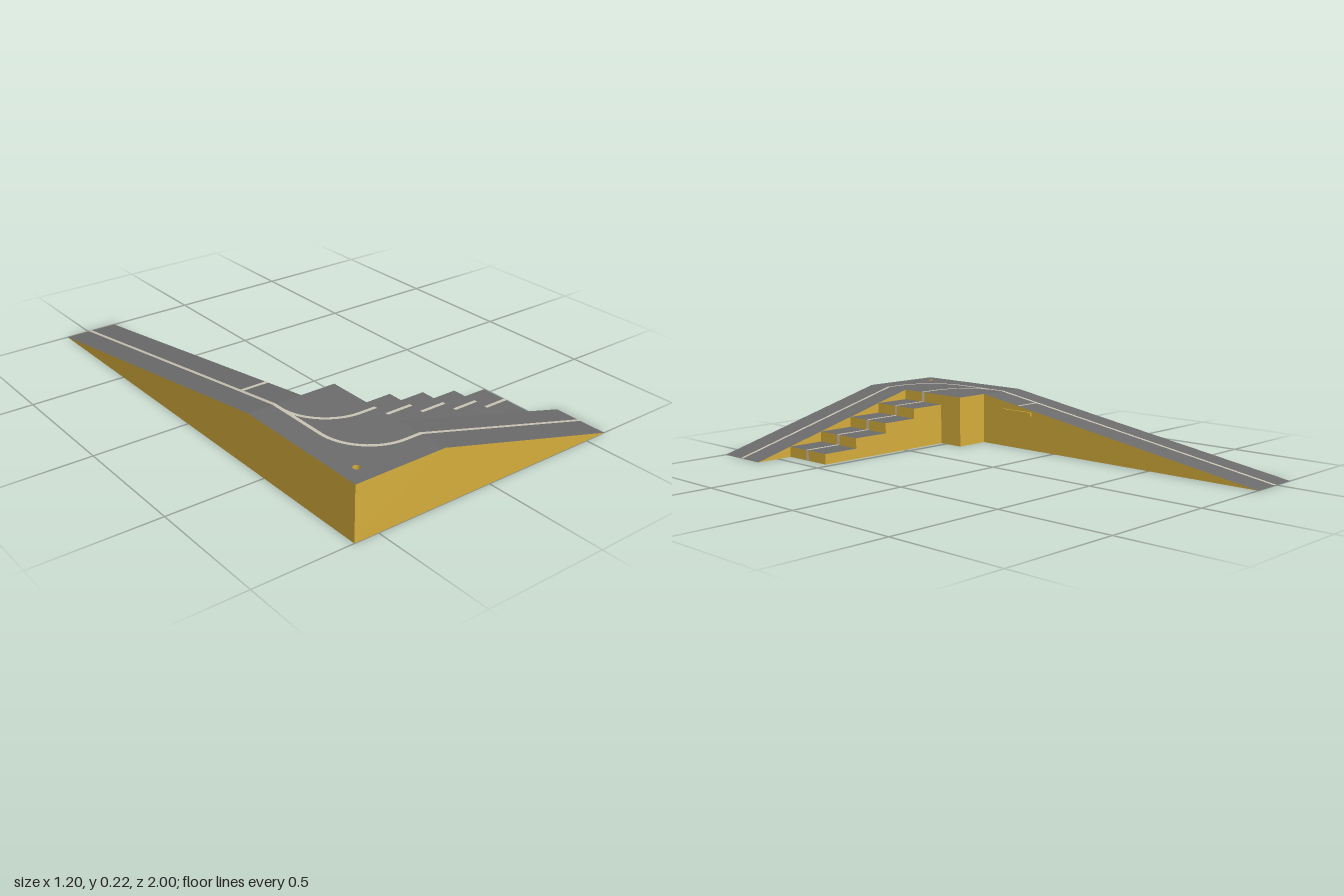
import * as THREE from 'three';

const H = 0.218;                                   // plateau height
const L = -0.6, R = 0.6, F = 1, B = -1;            // overall plan
const PX = -0.22, PZ = 0.41;                       // plateau corner
const IX = -0.37, IZ = 0.765;                      // inner edges of the two ramps
const SZ = 0.53;                                   // outer edge of the steps
const STEPS = 4, RUN = (R - PX) / 5;
const HOLE = { x: -0.53, z: 0.92, r: 0.014 };

const yellow = new THREE.MeshStandardMaterial({ color: 0xd6ae3c });
const grey = new THREE.MeshStandardMaterial({ color: 0x6c6c6c });
const cream = new THREE.MeshStandardMaterial({ color: 0xcac4b4 });

// deck height over the plateau and both ramps
const deckY = (x, z) => {
  if (x > PX) return H * (R - x) / (R - PX);
  if (z < PZ) return H * (z - B) / (PZ - B);
  return H;
};
const stepY = i => H * (4 - i) / 5;

// flat polygons, each a loop of corners, merged in one geometry
function panels(loops) {
  const pos = [];
  for (const p of loops)
    for (let i = 1; i < p.length - 1; i++) pos.push(...p[0], ...p[i], ...p[i + 1]);
  const g = new THREE.BufferGeometry();
  g.setAttribute('position', new THREE.Float32BufferAttribute(pos, 3));
  g.computeVertexNormals();
  return g;
}

// upright wall from plan point a to b, facing right of travel
const wall = (a, b, ya, yb, y0 = 0, y1 = y0) =>
  [[a[0], y0, a[1]], [b[0], y1, b[1]], [b[0], yb, b[1]], [a[0], ya, a[1]]];

// horizontal plate with the drain hole, facing up or down
function plate(points, y, up) {
  const s = up ? -1 : 1;
  const shape = new THREE.Shape(points.map(([x, z]) => new THREE.Vector2(x, s * z)));
  shape.holes.push(new THREE.Path().absarc(HOLE.x, s * HOLE.z, HOLE.r, 0, Math.PI * 2));
  return new THREE.ShapeGeometry(shape, 16).rotateX(s * Math.PI / 2).translate(0, y, 0);
}

// painted line: a strip following 3D points
function stripe(points, width = 0.015) {
  const pos = [], idx = [];
  points.forEach((p, i) => {
    const a = points[Math.max(i - 1, 0)], b = points[Math.min(i + 1, points.length - 1)];
    const dx = b[0] - a[0], dz = b[2] - a[2], k = width / 2 / Math.hypot(dx, dz);
    pos.push(p[0] + dz * k, p[1], p[2] - dx * k, p[0] - dz * k, p[1], p[2] + dx * k);
    if (i) {
      const n = 2 * i;
      idx.push(n - 2, n - 1, n + 1, n - 2, n + 1, n);
    }
  });
  const g = new THREE.BufferGeometry();
  g.setAttribute('position', new THREE.Float32BufferAttribute(pos, 3));
  g.setIndex(idx);
  const flat = g.toNonIndexed();
  flat.computeVertexNormals();
  return flat;
}

export function createModel() {
  const model = new THREE.Group();
  const add = (name, geometry, material) => {
    const m = new THREE.Mesh(geometry, material);
    m.name = name;
    model.add(m);
    return m;
  };

  // outer walls
  const sx = PX + STEPS * RUN;
  add('outerWalls', panels([
    wall([L, F], [PX, F], H, H),
    [[PX, 0, F], [R, 0, F], [PX, H, F]],
    wall([R, IZ], [sx, IZ], 0, deckY(sx, IZ)),
    wall([PX, SZ], [PX, PZ], H, H),
    wall([PX, PZ], [IX, PZ], H, H),
    [[IX, 0, PZ], [IX, 0, B], [IX, H, PZ]],
    [[L, 0, B], [L, 0, PZ], [L, H, PZ]],
    wall([L, PZ], [L, F], H, H),
  ]), yellow);

  // base
  add('base', plate([[L, F], [R, F], [R, IZ], [sx, IZ], [sx, SZ], [PX, SZ],
    [PX, PZ], [IX, PZ], [IX, B], [L, B]], 0, false), yellow);

  // road deck: plateau and two ramps
  add('plateauDeck', plate([[L, F], [PX, F], [PX, PZ], [L, PZ]], H, true), grey);
  add('longRampDeck', panels([[[L, H, PZ], [IX, H, PZ], [IX, 0, B], [L, 0, B]]]), grey);
  add('shortRampDeck', panels([[[PX, H, F], [R, 0, F], [R, 0, IZ], [PX, H, IZ]]]), grey);

  // stairs beside the short ramp
  const treads = [], risers = [wall([PX, IZ], [PX, SZ], H, H, stepY(0))];
  for (let i = 0; i < STEPS; i++) {
    const x0 = PX + i * RUN, x1 = x0 + RUN, y = stepY(i);
    treads.push([[x0, y, IZ], [x1, y, IZ], [x1, y, SZ], [x0, y, SZ]]);
    const next = i < STEPS - 1 ? stepY(i + 1) : 0;
    risers.push(
      wall([x1, IZ], [x1, SZ], y, y, next),
      wall([x1, SZ], [x0, SZ], y, y),
      [[x1, y, IZ], [x0, y, IZ], [x0, deckY(x0 + 1e-9, IZ), IZ]]);
  }
  add('stairTreads', panels(treads), grey);
  add('stairRisers', panels(risers), yellow);

  // drain hole lining
  const lining = yellow.clone();
  lining.side = THREE.BackSide;
  add('drainHole', new THREE.CylinderGeometry(HOLE.r, HOLE.r, H, 16, 1, true), lining)
    .position.set(HOLE.x, H / 2, HOLE.z);

  // painted lines
  const lift = 0.002, lineX = -0.49, rad = 0.2;
  const onDeck = ([x, z]) => [x, deckY(x, z) + lift, z];
  const bend = z => Array.from({ length: 17 }, (_, i) => {
    const a = i / 16 * Math.PI / 2;
    return [lineX + rad * (1 - Math.cos(a)), z - rad + rad * Math.sin(a)];
  });
  add('rampLine', stripe([[lineX, B], [lineX, PZ], ...bend(0.88), [PX, 0.88], [R, 0.88]].map(onDeck)), cream);
  const stairLine = [...bend(0.645), [PX, 0.645]].map(onDeck);
  for (let i = 0; i < STEPS; i++) {
    const x0 = PX + i * RUN + lift, y = stepY(i) + lift;
    stairLine.push([x0, y, 0.645], [x0 + RUN, y, 0.645]);
  }
  stairLine.push([sx + lift, 0, 0.645]);
  add('stairLine', stripe(stairLine), cream);
  add('crossLine', stripe([[lineX, 0.2], [IX, 0.2]].map(onDeck)), cream);

  // small ledge on the inner wall of the long ramp
  add('ledge', new THREE.BoxGeometry(0.008, 0.016, 0.158), yellow)
    .position.set(IX + 0.004, 0.158, 0.204);

  return model;
}
